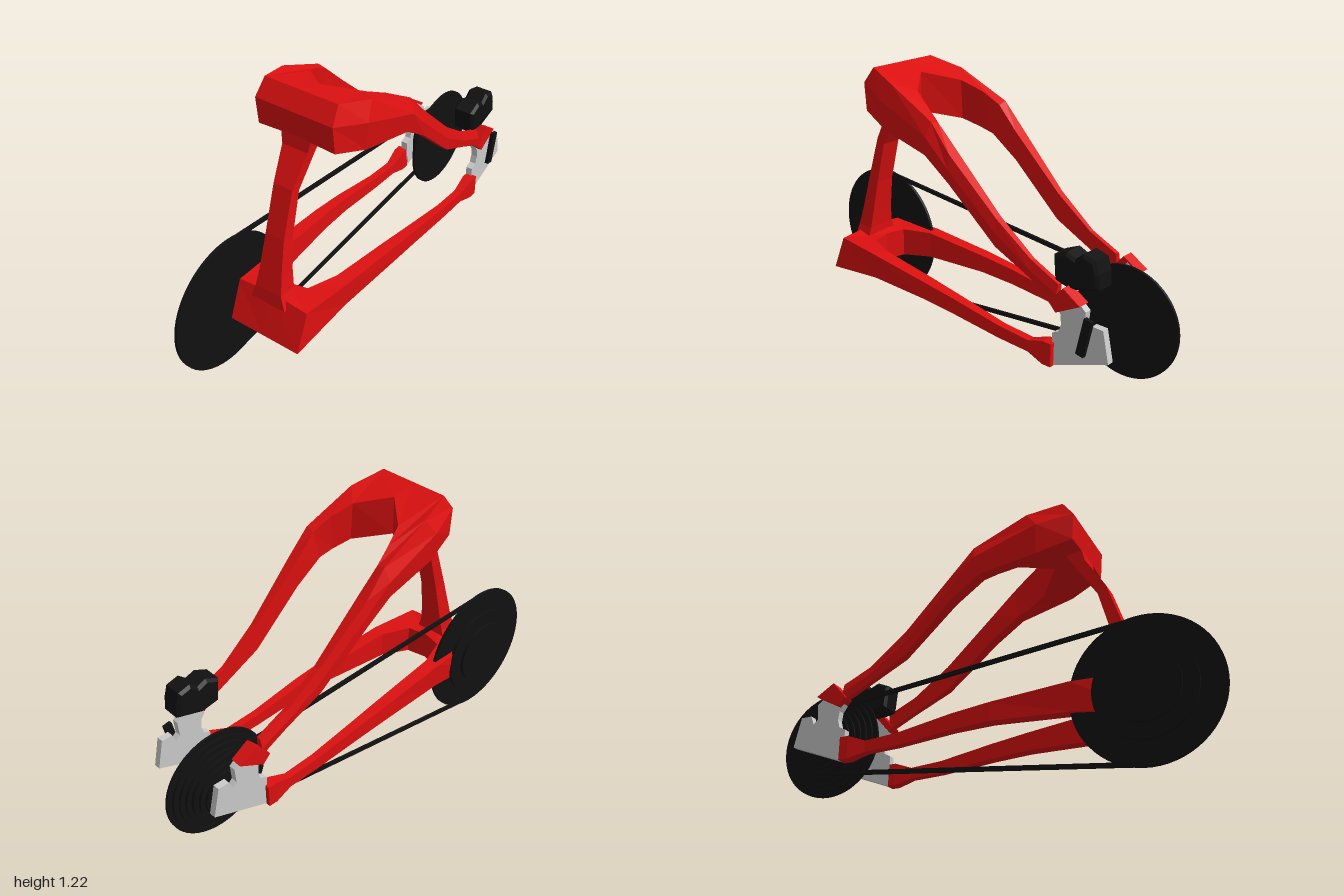
import * as THREE from 'three';

const mat = (color) => new THREE.MeshStandardMaterial({ color, flatShading: true });

// Skin a list of equal-length rings; ring corners run counter-clockwise about the direction of travel
function loft(rings, closed = false) {
  const pos = [];
  const tri = (a, b, c) => pos.push(...a, ...b, ...c);
  const n = rings[0].length;
  const last = closed ? rings.length : rings.length - 1;
  for (let i = 0; i < last; i++) {
    const r = rings[i], s = rings[(i + 1) % rings.length];
    for (let j = 0; j < n; j++) {
      const k = (j + 1) % n;
      tri(r[j], r[k], s[k]);
      tri(r[j], s[k], s[j]);
    }
  }
  if (!closed) {
    const a = rings[0], b = rings[rings.length - 1];
    for (let j = 1; j < n - 1; j++) {
      tri(a[0], a[j + 1], a[j]);
      tri(b[0], b[j], b[j + 1]);
    }
  }
  const g = new THREE.BufferGeometry();
  g.setAttribute('position', new THREE.Float32BufferAttribute(pos, 3));
  g.computeVertexNormals();
  return g;
}

// Mirror a half path (centre section first) into a full U
const mirrored = (half) => [
  ...half.slice(1).reverse().map((ring) => ring.map(([x, y, z]) => [-x, y, z])),
  ...half,
];

// Section of an arm: outer x, inner x, top y, middle y, bottom y, z
const armSection = (xo, xi, yt, ym, yb, z) => [
  [xo - 0.01, yt, z], [xo, ym, z], [xo - 0.005, yb, z], [xi, yb, z], [xi, yt, z],
];

// Extrude a (z, y) outline along x from x0 to x1
function plate(outline, x0, x1, bevel = 0) {
  const shape = new THREE.Shape(outline.map(([z, y]) => new THREE.Vector2(-z, y)));
  const g = new THREE.ExtrudeGeometry(shape, {
    depth: x1 - x0 - 2 * bevel, bevelEnabled: bevel > 0,
    bevelSize: bevel, bevelThickness: bevel, bevelOffset: -bevel, bevelSegments: 1,
  });
  return g.rotateY(Math.PI / 2).translate(x0 + bevel, 0, 0);
}

export function createModel() {
  const group = new THREE.Group();
  const red = mat(0xdd1010), black = mat(0x111111), grey = mat(0xcccccc);
  const add = (name, geometry, material, parent = group) => {
    const mesh = new THREE.Mesh(geometry, material);
    mesh.name = name;
    parent.add(mesh);
    return mesh;
  };

  // Upper fork: chunky front bridge sweeping back into two arms
  add('upperFork', loft(mirrored([
    [[0, 1.22, 0.39], [0, 1.15, 0.44], [0, 1.04, 0.43], [0, 1.02, 0.28], [0, 1.19, 0.28]],
    [[0.17, 1.22, 0.39], [0.18, 1.15, 0.44], [0.18, 1.03, 0.43], [0.14, 0.98, 0.17], [0.13, 1.15, 0.17]],
    [[0.21, 1.18, 0.24], [0.23, 1.11, 0.29], [0.215, 0.98, 0.28], [0.17, 0.95, 0.09], [0.165, 1.11, 0.08]],
    [[0.225, 1.07, 0], [0.25, 1.01, 0.01], [0.235, 0.93, 0.03], [0.18, 0.93, 0.03], [0.185, 1.06, 0]],
    armSection(0.24, 0.18, 0.96, 0.9, 0.84, -0.1),
    armSection(0.22, 0.18, 0.745, 0.69, 0.63, -0.33),
    armSection(0.21, 0.18, 0.62, 0.58, 0.545, -0.5),
    armSection(0.21, 0.18, 0.56, 0.52, 0.48, -0.63),
  ])), red);

  // Lower fork: wedge-shaped front bridge and two slim stays
  const staySection = (xo, xi, yt, yb, z) => [[xo, yt, z], [xo, yb, z], [xi, yb, z], [xi, yt, z]];
  add('lowerFork', loft(mirrored([
    [[0, 0.4, 0.63], [0, 0.22, 0.7], [0, 0.25, 0.53], [0, 0.38, 0.53]],
    [[0.18, 0.385, 0.63], [0.18, 0.22, 0.7], [0.09, 0.25, 0.51], [0.09, 0.38, 0.51]],
    [[0.205, 0.38, 0.4], [0.195, 0.26, 0.4], [0.14, 0.26, 0.38], [0.14, 0.38, 0.38]],
    staySection(0.215, 0.16, 0.35, 0.27, 0.07),
    staySection(0.215, 0.17, 0.33, 0.26, -0.1),
    staySection(0.21, 0.175, 0.29, 0.235, -0.35),
    staySection(0.21, 0.175, 0.28, 0.23, -0.5),
    staySection(0.22, 0.17, 0.31, 0.21, -0.58),
    staySection(0.22, 0.17, 0.31, 0.21, -0.62),
  ])), red);

  // Curved central strut: half width, y and z of the back and front edges
  const strut = [
    [0.07, 1.04, 0.35, 1.04, 0.43], [0.06, 0.98, 0.39, 0.99, 0.44],
    [0.045, 0.84, 0.48, 0.86, 0.52], [0.045, 0.65, 0.53, 0.66, 0.585],
    [0.055, 0.5, 0.555, 0.5, 0.625], [0.065, 0.42, 0.565, 0.42, 0.645],
    [0.085, 0.36, 0.565, 0.36, 0.655],
  ];
  add('strut', loft(strut.map(([w, yb, zb, yf, zf]) => [
    [w, yb, zb], [w, yf, zf], [-w, yf, zf], [-w, yb, zb],
  ])), red);

  // Rear dropout plates with their red collars
  const dropout = [
    [-0.615, 0.21], [-0.87, 0.31], [-0.84, 0.44], [-0.79, 0.44], [-0.775, 0.4],
    [-0.755, 0.42], [-0.76, 0.487], [-0.69, 0.545], [-0.625, 0.47], [-0.645, 0.44],
    [-0.65, 0.4], [-0.64, 0.365], [-0.61, 0.35],
  ];
  const collar = [[-0.605, 0.49], [-0.64, 0.455], [-0.75, 0.515], [-0.67, 0.565]];
  for (const [side, s] of [['left', 1], ['right', -1]]) {
    const span = (a, b) => (s > 0 ? [a, b] : [-b, -a]);
    add(side + 'Dropout', plate(dropout, ...span(0.17, 0.2)), grey);
    add(side + 'Collar', plate(collar, ...span(0.172, 0.225)), red);
  }

  // Quick-release lever on the left
  const lever = add('axleLever', new THREE.BoxGeometry(0.018, 0.16, 0.036), black);
  lever.position.set(0.211, 0.39, -0.768);
  lever.rotation.x = -0.2;

  // Brake caliper on the left arm
  add('brakeCaliper', plate([
    [-0.6, 0.56], [-0.68, 0.545], [-0.8, 0.58], [-0.795, 0.64], [-0.78, 0.69], [-0.725, 0.705],
    [-0.69, 0.675], [-0.65, 0.692], [-0.59, 0.665],
  ], 0.09, 0.19, 0.012), black);

  // Chainrings and rear sprockets
  const disc = (name, parent, r, x, y, z, t) => {
    const g = new THREE.CylinderGeometry(r, r, t, 64).rotateZ(Math.PI / 2);
    add(name, g, black, parent).position.set(x, y, z);
  };
  const crank = new THREE.Group();
  crank.name = 'chainrings';
  [[0.305, -0.172], [0.207, -0.195], [0.147, -0.215]].forEach(([r, x]) =>
    disc('chainring', crank, r, x, 0.31, 0.695, 0.013));
  const cassette = new THREE.Group();
  cassette.name = 'cassette';
  for (let i = 0; i < 7; i++) {
    disc('sprocket', cassette, 0.238 - i * 0.0213, -0.075 - i * 0.0133, 0.345, -0.762, 0.011);
  }
  group.add(crank, cassette);

  // Chain loop around both sets of rings
  const chain = [];
  const wrap = (cz, cy, r, x, from, to) => {
    for (let i = 0; i <= 20; i++) {
      const a = THREE.MathUtils.degToRad(from + (to - from) * i / 20);
      const at = (dx, dr) => [x + dx, cy + Math.sin(a) * (r + dr), cz + Math.cos(a) * (r + dr)];
      chain.push([at(0.006, -0.009), at(0.006, 0.009), at(-0.006, 0.009), at(-0.006, -0.009)]);
    }
  };
  wrap(0.695, 0.31, 0.294, -0.172, 96, -96);
  wrap(-0.762, 0.345, 0.145, -0.125, -96, -264);
  add('chain', loft(chain, true), black);

  return group;
}
